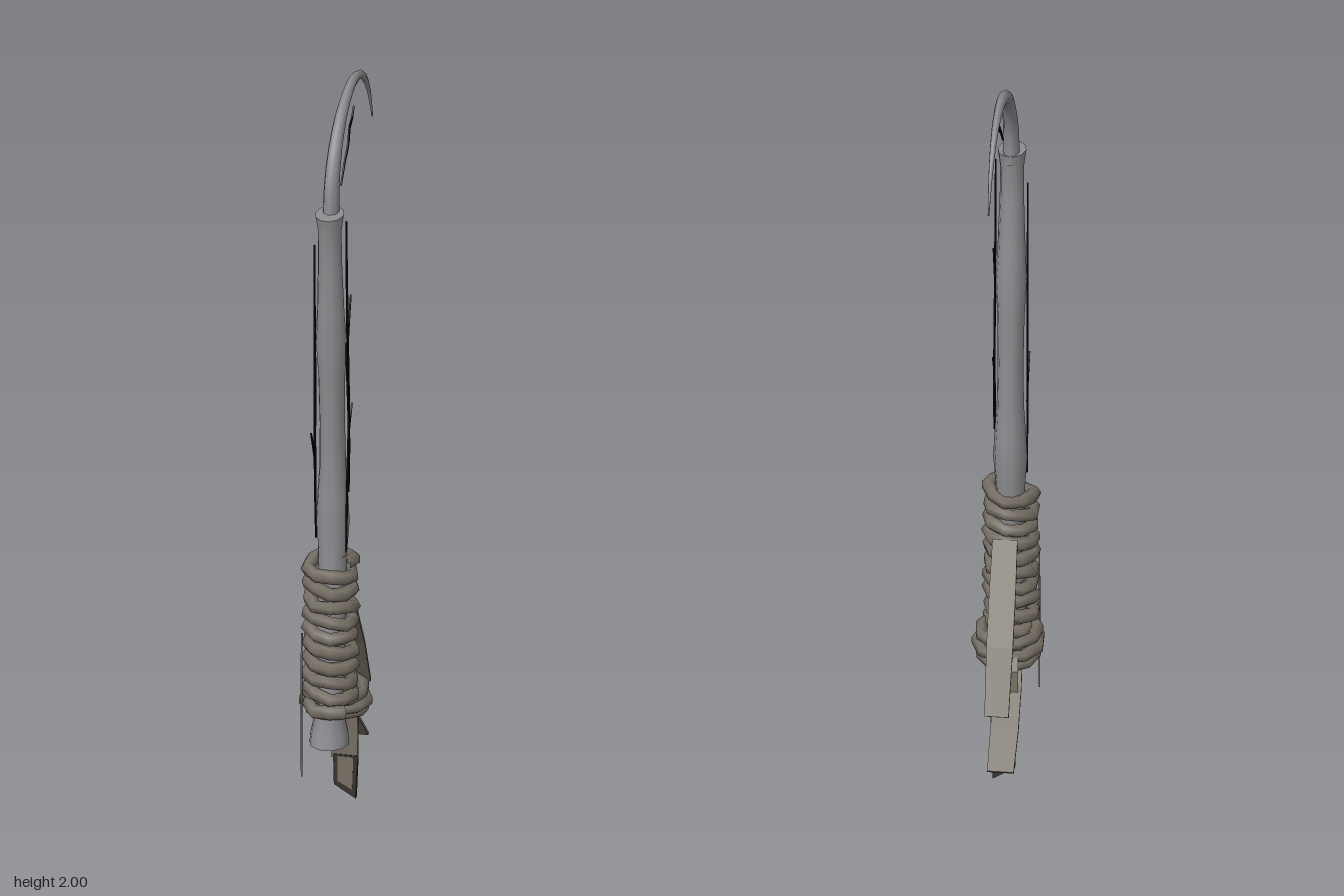
import * as THREE from 'three';

const V = (x, y, z) => new THREE.Vector3(x, y, z);
const mat = (name, color) => {
  const m = new THREE.MeshStandardMaterial({ color });
  m.name = name;
  return m;
};

// Capped sweep along rows of [x, y, z, halfWidthInX, halfDepth]
function sweep(rows, sides = 8, flat = false) {
  const pos = [], idx = [], X = V(1, 0, 0);
  const pts = rows.map(r => V(r[0], r[1], r[2]));
  const off = sides === 4 ? Math.PI / 4 : 0, k = sides === 4 ? Math.SQRT2 : 1;
  const rings = rows.map((r, i) => {
    const t = pts[Math.min(i + 1, rows.length - 1)].clone().sub(pts[Math.max(i - 1, 0)]);
    t.x = 0;
    const n = t.normalize().cross(X);
    return Array.from({ length: sides }, (_, j) => {
      const a = off + j / sides * Math.PI * 2;
      return pts[i].clone().addScaledVector(X, k * r[3] * Math.cos(a)).addScaledVector(n, k * r[4] * Math.sin(a));
    });
  });
  const last = rings.length - 1;
  [...rings, rings[0], rings[last]].forEach(ring => ring.forEach(p => pos.push(p.x, p.y, p.z)));
  for (let i = 0; i < last; i++) for (let j = 0; j < sides; j++) {
    const a = i * sides + j, b = i * sides + (j + 1) % sides;
    idx.push(a, b, b + sides, a, b + sides, a + sides);
  }
  const c0 = (last + 1) * sides, c1 = c0 + sides;
  for (let j = 1; j < sides - 1; j++) idx.push(c0, c0 + j + 1, c0 + j, c1, c1 + j, c1 + j + 1);
  let g = new THREE.BufferGeometry();
  g.setAttribute('position', new THREE.Float32BufferAttribute(pos, 3));
  g.setIndex(idx);
  if (flat) g = g.toNonIndexed();
  g.computeVertexNormals();
  return g;
}

export function createModel() {
  const group = new THREE.Group();
  const bone = mat('grey bone', 0x8e8e92);
  const leather = mat('brown leather', 0x766f64);
  const fibre = mat('black fibre', 0x0b0b0c);
  const dark = mat('dark leather', 0x37342e);
  const add = (name, geometry, material) => {
    const m = new THREE.Mesh(geometry, material);
    m.name = name;
    group.add(m);
    return m;
  };

  // Shaft with knuckle-like swellings
  add('shaft', sweep([
    [0, 0.24, 0.205, 0.052, 0.061], [0, 0.265, 0.204, 0.05, 0.056], [0, 0.33, 0.2, 0.036, 0.042],
    [0, 0.5, 0.19, 0.036, 0.042], [0, 0.77, 0.168, 0.038, 0.045], [0, 0.85, 0.167, 0.044, 0.052],
    [0, 0.91, 0.167, 0.041, 0.047], [0, 1.0, 0.167, 0.035, 0.041], [0, 1.12, 0.172, 0.033, 0.039],
    [0, 1.26, 0.179, 0.035, 0.04], [0, 1.36, 0.183, 0.041, 0.048], [0, 1.44, 0.19, 0.036, 0.038],
    [0, 1.6, 0.198, 0.031, 0.035], [0, 1.68, 0.201, 0.031, 0.038], [0, 1.725, 0.202, 0.037, 0.048]], 10), bone);

  // Curved claw tapering to a point
  const clawPath = new THREE.CatmullRomCurve3([
    V(0, 1.7, 0.184), V(0, 1.79, 0.18), V(0, 1.875, 0.143), V(0, 1.943, 0.075), V(0, 1.982, -0.04),
    V(0, 1.957, -0.15), V(0, 1.885, -0.225), V(0, 1.785, -0.27)]);
  add('claw', sweep(clawPath.getSpacedPoints(16).map((p, i) => {
    const u = i / 16;
    return [0, p.y, p.z, 0.002 + 0.02 * (1 - u ** 1.2), 0.002 + 0.027 * (1 - u ** 1.2)];
  })), bone);

  // Cord coiled round the grip
  const turns = 10, per = 9, coil = [];
  for (let i = 0; i <= turns * per; i++) {
    const a = i / per * Math.PI * 2, u = i / (turns * per);
    const r = 0.057 + 0.003 * Math.sin(i * 2.3);
    coil.push(V(r * Math.sin(a + 0.9), 0.755 - 0.42 * u + 0.004 * Math.sin(i * 1.7), 0.187 + 0.006 * u + r * Math.cos(a + 0.9)));
  }
  add('gripCord', new THREE.TubeGeometry(new THREE.CatmullRomCurve3(coil), turns * per, 0.0185, 6), leather);

  // Loose loops bunched behind the grip: [y, z, radius x, radius z, slope, cord radius]
  [[0.364, 0.14, 0.073, 0.086, 0, 0.017], [0.333, 0.135, 0.08, 0.083, 0.06, 0.017],
    [0.308, 0.13, 0.07, 0.07, 0.14, 0.016], [0.335, 0.135, 0.05, 0.058, 0.05, 0.018]].forEach(([y, z, rx, rz, slope, r], n) => {
    const ring = Array.from({ length: 9 }, (_, i) => {
      const a = i / 9 * Math.PI * 2 + n * 0.25;
      return V(rx * Math.sin(a), y + slope * rz * Math.cos(a), z + rz * Math.cos(a));
    });
    add('looseLoop', new THREE.TubeGeometry(new THREE.CatmullRomCurve3(ring, true), 9, r, 6, true), leather);
  });

  // Trailing straps
  const strap = (name, rows) => add(name, sweep(rows.map(([x, y, z, w]) => [x, y, z, w, 0.004]), 4, true), leather);
  strap('upperStrap', [[0.008, 0.63, 0.125, 0.032], [0.004, 0.53, 0.045, 0.034], [0, 0.41, -0.045, 0.034], [-0.004, 0.26, -0.14, 0.031]]);
  strap('lowerStrap', [[-0.008, 0.31, 0.1, 0.032], [-0.011, 0.255, 0.03, 0.035], [-0.014, 0.18, -0.06, 0.036], [-0.015, 0.105, -0.148, 0.034]]);
  strap('hangingStrap', [[-0.004, 0.34, 0.06, 0.03], [-0.004, 0.305, 0.024, 0.034], [-0.004, 0.2, 0.018, 0.035], [-0.004, 0.11, 0.015, 0.034]]);

  // Slanted dark tip of the hanging strap with a lighter centre
  const plate = (pts, depth) => new THREE.ExtrudeGeometry(new THREE.Shape(pts.map(p => new THREE.Vector2(...p))), { depth, bevelEnabled: false });
  const tip = add('strapTip', plate([[-0.034, 0.12], [-0.032, 0.035], [0.025, 0], [0.03, 0.12]], 0.014), dark);
  const core = add('strapTipCentre', plate([[-0.022, 0.115], [-0.022, 0.045], [0.016, 0.024], [0.019, 0.115]], 0.0156), leather);
  tip.position.z = 0.007;
  core.position.z = 0.0062;

  // Fibres: points [y, z], half width, and distance out in x
  const strand = (name, x, pts, w, material = fibre) => add(name, sweep(pts.map(([y, z], i) => {
    const taper = Math.sin(Math.PI * (0.06 + 0.88 * i / (pts.length - 1)));
    return [x, y, z, 0.002, w * taper + 0.001];
  }), 4, true), material);
  strand('leftFibre', 0.04, [[0.77, 0.188], [0.92, 0.18], [1.03, 0.168], [1.12, 0.157], [1.25, 0.166], [1.4, 0.175], [1.55, 0.182], [1.7, 0.187]], 0.006);
  strand('leftFibre', 0.041, [[0.93, 0.165], [1.05, 0.16], [1.15, 0.165], [1.3, 0.185], [1.36, 0.188]], 0.005);
  strand('leftTwig', 0.039, [[1.05, 0.165], [1.11, 0.15], [1.16, 0.12]], 0.003);
  strand('leftTwig', 0.039, [[1.32, 0.172], [1.4, 0.155], [1.47, 0.133]], 0.003);
  strand('rightFibre', -0.041, [[0.8, 0.18], [0.95, 0.19], [1.1, 0.193], [1.25, 0.19], [1.4, 0.195], [1.63, 0.198]], 0.006);
  strand('rightTwig', -0.04, [[1, 0.19], [1.06, 0.21], [1.12, 0.24]], 0.003);
  strand('clawFibre', 0.016, [[1.78, 0.145], [1.82, 0.11], [1.85, 0.075], [1.865, 0.062], [1.9, 0.05], [1.915, 0.02], [1.94, 0.002]], 0.005);
  strand('gripString', -0.066, [[0.15, 0.233], [0.25, 0.234], [0.35, 0.236], [0.45, 0.235], [0.55, 0.23]], 0.0025, leather);

  return group;
}
